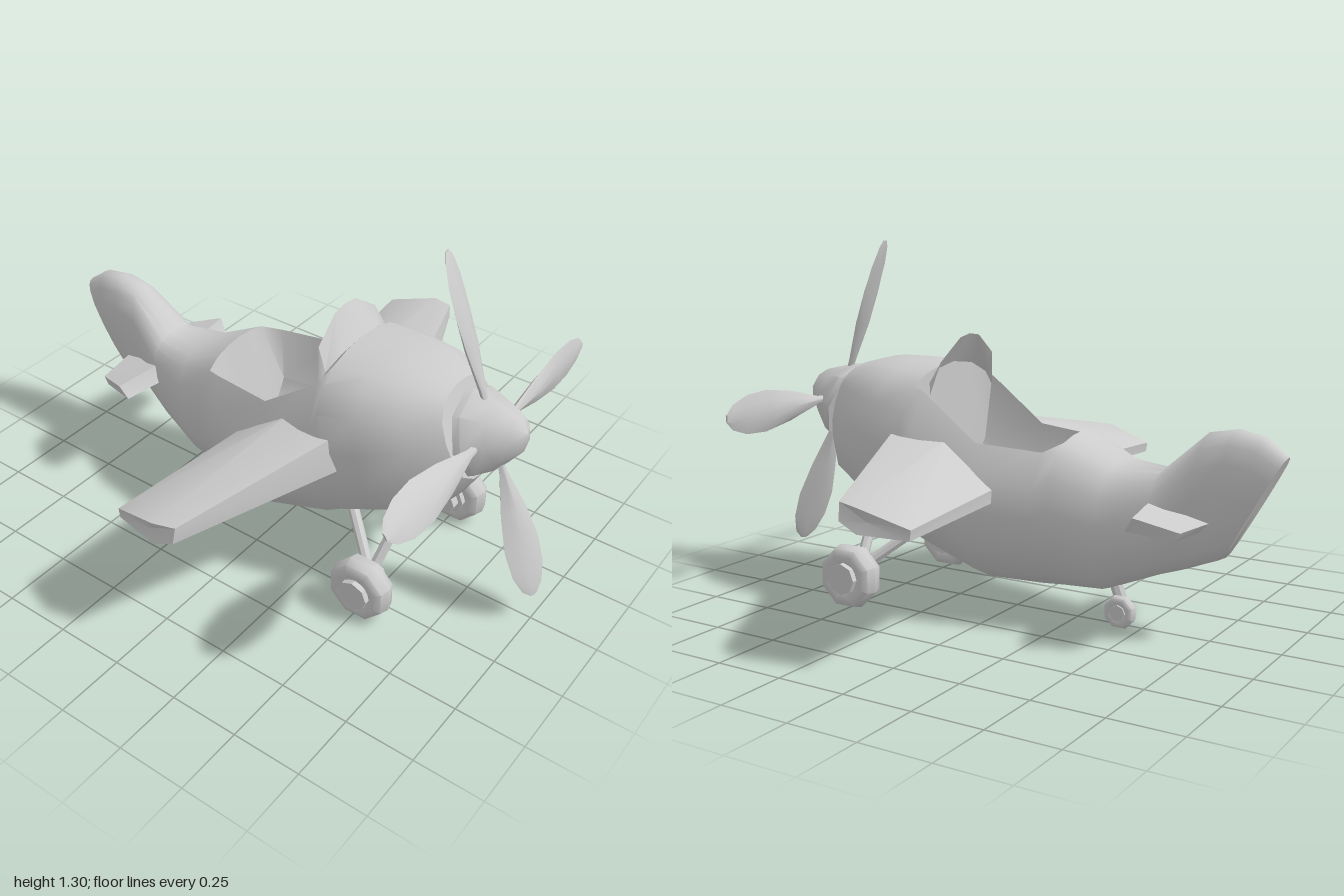
import * as THREE from 'three';
import { toCreasedNormals } from 'three/addons/utils/BufferGeometryUtils.js';

const material = new THREE.MeshStandardMaterial({ color: 0xcccccc });
const V = (x, y, z) => new THREE.Vector3(x, y, z);

function part(parent, name, geometry, crease = 0.7, mat = material) {
  const mesh = new THREE.Mesh(toCreasedNormals(geometry, crease), mat);
  mesh.name = name;
  parent.add(mesh);
  return mesh;
}

// Skin a row of closed rings, cap both ends and turn all faces outwards
function loft(rings) {
  const n = rings[0].length, points = rings.flat(), index = [];
  for (let r = 0; r < rings.length - 1; r++) {
    for (let i = 0; i < n; i++) {
      const a = r * n + i, b = r * n + (i + 1) % n;
      index.push(a, b, b + n, a, b + n, a + n);
    }
  }
  for (const [r, flip] of [[0, true], [rings.length - 1, false]]) {
    const centre = V(0, 0, 0);
    rings[r].forEach(p => centre.addScaledVector(p, 1 / n));
    const c = points.push(centre) - 1;
    for (let i = 0; i < n; i++) {
      const a = r * n + i, b = r * n + (i + 1) % n;
      index.push(c, flip ? b : a, flip ? a : b);
    }
  }
  let volume = 0;
  for (let i = 0; i < index.length; i += 3) {
    const [a, b, c] = [0, 1, 2].map(k => points[index[i + k]]);
    volume += a.dot(b.clone().cross(c));
  }
  if (volume < 0) index.reverse();
  return new THREE.BufferGeometry().setFromPoints(points).setIndex(index);
}

// Round bar between two points
function strut(parent, name, a, b, radius) {
  const d = b.clone().sub(a);
  const mesh = part(parent, name, new THREE.CylinderGeometry(radius, radius, d.length(), 8));
  mesh.position.copy(a).addScaledVector(d, 0.5);
  mesh.quaternion.setFromUnitVectors(V(0, 1, 0), d.normalize());
}

// Eight-sided tyre with a hub, turning about x
function wheel(parent, name, pos, radius, width, hubWidth) {
  const group = new THREE.Group();
  group.name = name;
  const w = width / 2, r = radius;
  const profile = [[r * 0.45, -w * 0.8], [r * 0.7, -w], [r * 0.92, -w * 0.75], [r, 0],
    [r * 0.92, w * 0.75], [r * 0.7, w], [r * 0.45, w * 0.8]].map(p => new THREE.Vector2(...p));
  const tyre = part(group, 'tyre', new THREE.LatheGeometry(profile, 8, Math.PI / 8), 0.9);
  const hub = part(group, 'wheelHub', new THREE.CylinderGeometry(r * 0.48, r * 0.48, hubWidth, 8));
  tyre.rotation.z = hub.rotation.z = Math.PI / 2;
  group.position.copy(pos);
  parent.add(group);
}

function buildFuselage(parent) {
  // Half outlines from keel to centre line, as fractions of width and height
  const side = [[0, 0], [0.38, 0.03], [0.72, 0.13], [0.92, 0.33], [1, 0.56], [0.95, 0.77]];
  const closed = [...side, [0.76, 0.9], [0.55, 0.96], [0.28, 0.99], [0, 1]];
  const open = [...side, [0.75, 1], [0.68, 0.6], [0.4, 0.4], [0, 0.36]];
  // Stations: top z, top y, keel z, keel y, half width, outline
  const stations = [
    [0.65, 0.86, 0.765, 0.54, 0.15, closed],
    [0.53, 0.89, 0.7, 0.43, 0.235, closed],
    [0.4, 0.892, 0.5, 0.3, 0.28, closed],
    [0.27, 0.885, 0.36, 0.235, 0.3, closed],
    [0.25, 0.81, 0.3, 0.21, 0.305, open],
    [0.03, 0.645, 0.045, 0.13, 0.3, open],
    [-0.21, 0.63, -0.16, 0.132, 0.25, open],
    [-0.26, 0.68, -0.24, 0.135, 0.23, closed],
    [-0.42, 0.6, -0.38, 0.14, 0.185, closed],
    [-0.58, 0.585, -0.56, 0.215, 0.13, closed],
    [-0.73, 0.72, -0.66, 0.25, 0.088, closed],
    [-0.83, 0.74, -0.72, 0.275, 0.08, closed],
    [-0.92, 0.725, -0.77, 0.295, 0.072, closed],
    [-1, 0.665, -0.8, 0.31, 0.05, closed],
  ];
  const rings = stations.map(([zt, yt, zb, yb, w, outline]) => {
    const half = outline.map(([u, v]) => V(u * w, yb + (yt - yb) * v, zb + (zt - zb) * v));
    const mirrored = half.slice(1, -1).reverse().map(p => V(-p.x, p.y, p.z));
    return [...half, ...mirrored];
  });
  part(parent, 'fuselage', loft(rings), 0.85);
}

// Curved sheet standing on the front edge of the cockpit
function buildWindshield(parent) {
  const base = [[0, 0.885, 0.27], [0.11, 0.87, 0.265], [0.18, 0.83, 0.25], [0.2, 0.78, 0.235]];
  const top = [[0, 0.99, 0.2], [0.06, 0.98, 0.2], [0.165, 0.905, 0.21], [0.2, 0.79, 0.235]];
  const full = row => [...row.slice(1).reverse().map(([x, y, z]) => V(-x, y, z)), ...row.map(p => V(...p))];
  const points = [...full(base), ...full(top)], n = points.length / 2, index = [];
  for (let i = 0; i < n - 1; i++) index.push(i, i + 1, i + 1 + n, i, i + 1 + n, i + n);
  const mat = material.clone();
  mat.side = THREE.DoubleSide;
  part(parent, 'windshield', new THREE.BufferGeometry().setFromPoints(points).setIndex(index), 0.9, mat);
}

function buildPropeller(parent) {
  const propeller = new THREE.Group();
  propeller.name = 'propeller';
  propeller.position.set(0, 0.72, 0.785);
  propeller.rotation.x = -0.35;
  parent.add(propeller);

  // Nose cone and the shaft behind it
  const cone = [[0, -0.06], [0.155, -0.06], [0.15, -0.035], [0.108, 0.035], [0.065, 0.1], [0, 0.13]];
  const spinner = part(propeller, 'spinner',
    new THREE.LatheGeometry(cone.map(p => new THREE.Vector2(...p)), 8), 0.8);
  spinner.rotation.x = Math.PI / 2;
  const shaft = part(propeller, 'shaft', new THREE.CylinderGeometry(0.08, 0.08, 0.1, 8));
  shaft.rotation.x = Math.PI / 2;
  shaft.position.z = -0.08;

  // Blade rings: radius, half width, half thickness
  const stations = [[0.08, 0.012, 0.012], [0.15, 0.016, 0.013], [0.3, 0.055, 0.02], [0.43, 0.076, 0.017],
    [0.53, 0.07, 0.012], [0.6, 0.045, 0.008], [0.63, 0.015, 0.004]];
  const lens = [[1, 0], [0.5, 0.8], [0, 1], [-0.5, 0.8], [-1, 0], [-0.5, -0.8], [0, -1], [0.5, -0.8]];
  const blade = loft(stations.map(([r, w, t]) => lens.map(([u, v]) => V(u * w, r, v * t))));
  blade.rotateY(0.3);
  for (let i = 0; i < 4; i++) part(propeller, 'blade', blade, 0.9).rotation.z = i * Math.PI / 2;
}

export function createModel() {
  const plane = new THREE.Group();
  plane.name = 'airplane';
  buildFuselage(plane);
  buildWindshield(plane);
  buildPropeller(plane);

  // Root and tip outlines of the wings and tailplane, on the left side
  const wingRoot = [[0.25, 0.54, 0.385], [0.25, 0.665, 0.355], [0.25, 0.645, 0.14],
    [0.25, 0.5, -0.06], [0.25, 0.455, -0.06], [0.25, 0.48, 0.15]];
  const wingTip = [[0.835, 0.49, 0.135], [0.825, 0.55, 0.14], [0.845, 0.545, 0.06],
    [0.81, 0.49, -0.12], [0.81, 0.455, -0.115], [0.845, 0.46, 0.06]];
  const tailRoot = [[0.04, 0.425, -0.54], [0.04, 0.495, -0.56], [0.04, 0.435, -0.77], [0.04, 0.4, -0.735]];
  const tailTip = [[0.285, 0.43, -0.57], [0.295, 0.48, -0.6], [0.235, 0.435, -0.738], [0.235, 0.405, -0.72]];

  for (const s of [1, -1]) {
    const label = s > 0 ? 'left' : 'right';
    const ring = row => row.map(([x, y, z]) => V(s * x, y, z));
    part(plane, label + 'Wing', loft([ring(wingRoot), ring(wingTip)]), 0.5);
    part(plane, label + 'Tailplane', loft([ring(tailRoot), ring(tailTip)]), 0.4);

    // Main landing gear
    strut(plane, label + 'FrontStrut', V(s * 0.265, 0.14, 0.51), V(s * 0.08, 0.4, 0.55), 0.02);
    strut(plane, label + 'RearStrut', V(s * 0.265, 0.14, 0.51), V(s * 0.11, 0.31, 0.31), 0.02);
    wheel(plane, label + 'Wheel', V(s * 0.318, 0.125, 0.51), 0.12, 0.095, 0.12);
    const axle = part(plane, label + 'Axle', new THREE.CylinderGeometry(0.04, 0.04, 0.1, 8));
    axle.rotation.z = Math.PI / 2;
    axle.position.set(s * 0.275, 0.125, 0.51);
  }

  // Tail gear
  strut(plane, 'tailStrut', V(-0.005, 0.05, -0.435), V(-0.005, 0.2, -0.38), 0.023);
  wheel(plane, 'tailWheel', V(0.03, 0.07, -0.43), 0.06, 0.045, 0.05);
  return plane;
}
